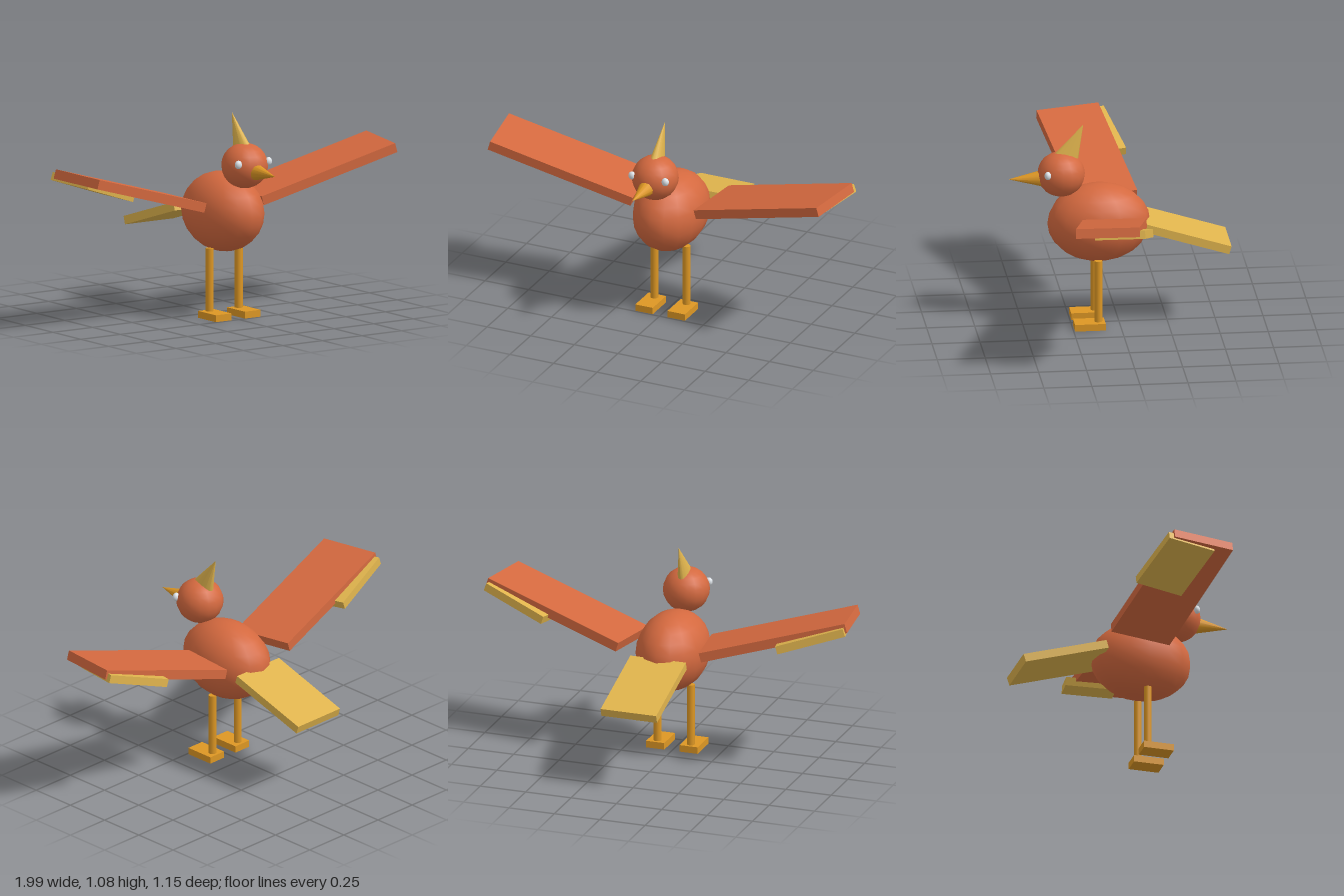
import * as THREE from 'three';

export function createModel() {
  const bird = new THREE.Group();
  bird.name = 'bird';

  const paint = (name, color) => {
    const m = new THREE.MeshStandardMaterial({ color });
    m.name = name;
    return m;
  };
  const rust = paint('rust', 0xd4693f);
  const straw = paint('straw', 0xe0b44d);
  const amber = paint('amber', 0xdd9724);
  const pearl = paint('pearl', 0xdde3e8);

  const add = (name, geometry, material, x, y, z) => {
    const mesh = new THREE.Mesh(geometry, material);
    mesh.name = name;
    mesh.position.set(x, y, z);
    bird.add(mesh);
    return mesh;
  };
  const ball = (rx, ry, rz) => new THREE.SphereGeometry(1, 16, 12).scale(rx, ry, rz);

  // Body and head
  add('body', ball(0.185, 0.208, 0.267), rust, 0, 0.55, 0.105);
  add('head', ball(0.122, 0.118, 0.124), rust, 0, 0.818, 0.301);

  // Beak, pointing forward
  const beak = new THREE.ConeGeometry(0.05, 0.2, 12).rotateX(Math.PI / 2);
  add('beak', beak, amber, 0, 0.798, 0.475);

  // Crest: a cone flattened sideways and swept back
  const crest = new THREE.ConeGeometry(0.072, 0.22, 12).scale(0.5, 1, 1);
  add('crest', crest, straw, 0, 0.984, 0.234).rotation.x = -0.457;

  // Tail board, drooping backwards
  add('tail', new THREE.BoxGeometry(0.306, 0.044, 0.468), straw, 0, 0.488, -0.34).rotation.x = -0.3;

  // Paired parts
  for (const [side, s] of [['left', 1], ['right', -1]]) {
    add(side + 'Eye', ball(0.02, 0.022, 0.017), pearl, s * 0.095, 0.842, 0.38);

    // Wings rise outwards and sweep forward, with a feather board beneath the tip
    const wing = add(side + 'Wing', new THREE.BoxGeometry(0.8, 0.05, 0.33), rust, s * 0.585, 0.715, 0.103);
    wing.rotation.set(0, -s * 0.15, s * 0.28, 'ZYX');
    const feather = add(side + 'WingFeather', new THREE.BoxGeometry(0.37, 0.043, 0.263), straw, s * 0.79, 0.751, 0.06);
    feather.rotation.set(0, -s * 0.215, s * 0.32, 'ZYX');

    add(side + 'Leg', new THREE.CylinderGeometry(0.021, 0.021, 0.345, 12), amber, s * 0.092, 0.194, 0.117);
    add(side + 'Foot', new THREE.BoxGeometry(0.1, 0.036, 0.16), amber, s * 0.092, 0.018, 0.163);
  }

  return bird;
}
